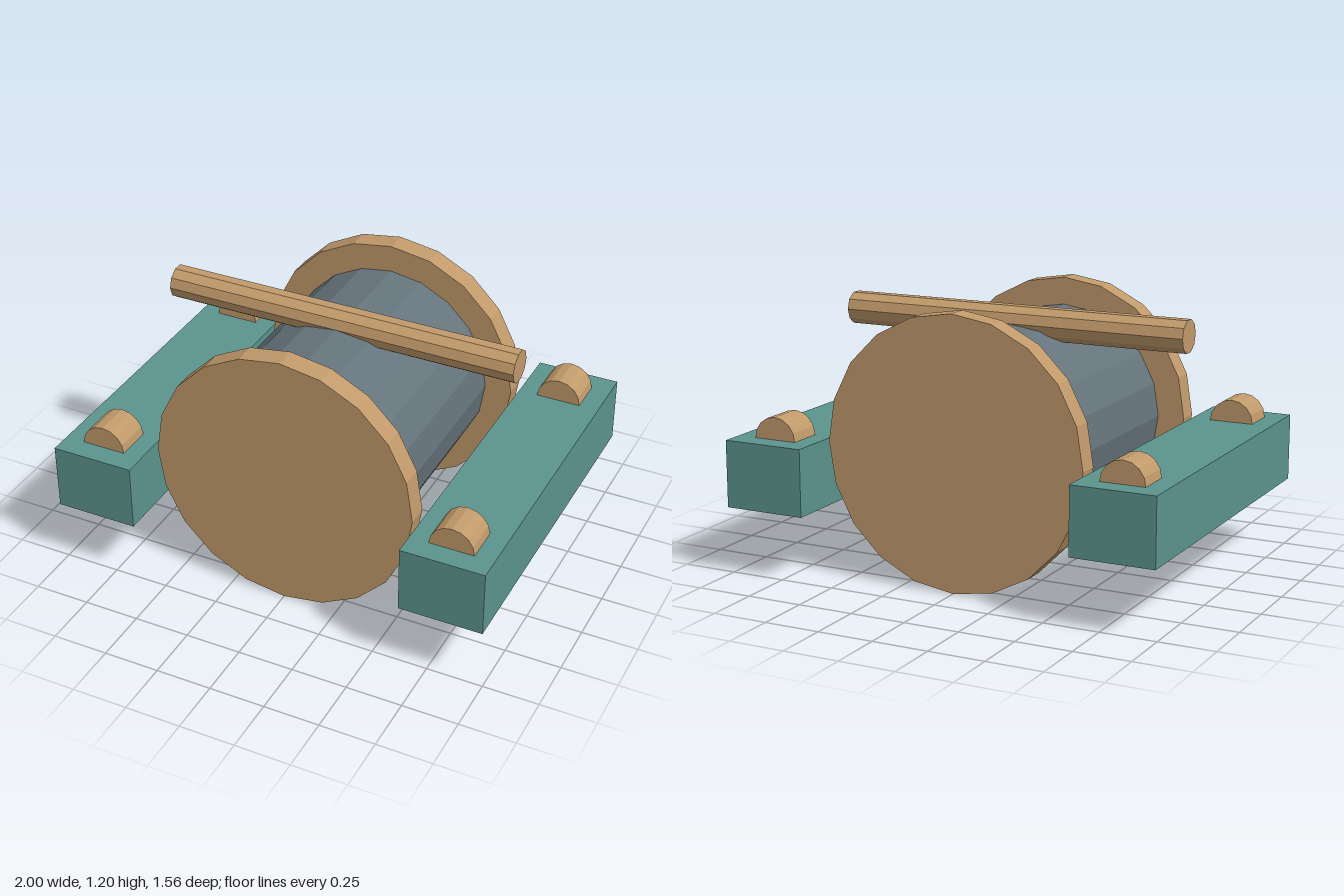
import * as THREE from 'three';

export function createModel() {
  const model = new THREE.Group();
  model.name = 'drumOnBeams';

  const material = (name, color) => {
    const m = new THREE.MeshStandardMaterial({ color, flatShading: true });
    m.name = name;
    return m;
  };
  const wood = material('wood', 0xc19a6b);
  const teal = material('teal', 0x5c948e);
  const slate = material('slate', 0x65747c);

  const add = (name, geometry, mat, x, y, z) => {
    const mesh = new THREE.Mesh(geometry, mat);
    mesh.name = name;
    mesh.position.set(x, y, z);
    model.add(mesh);
    return mesh;
  };

  // Cylinder lying along z
  const roller = (radius, length, sides, start = 0, sweep = Math.PI * 2) =>
    new THREE.CylinderGeometry(radius, radius, length, sides, 1, false, start, sweep).rotateX(Math.PI / 2);

  // Drum between two larger end discs
  const axisY = 0.602;
  add('drum', roller(0.475, 0.98, 20), slate, 0, axisY, 0);
  for (const [side, z] of [['front', 0.537], ['back', -0.537]]) {
    add(`${side}Disc`, roller(0.599, 0.1, 20), wood, 0, axisY, z);
  }

  // Crossbar resting in the top of the drum
  const bar = new THREE.CylinderGeometry(0.074, 0.074, 1.62, 10).rotateZ(Math.PI / 2);
  add('crossbar', bar, wood, 0, 1.077, 0);

  // Side beams, each with two half-round pegs on top
  for (const [side, s] of [['left', 1], ['right', -1]]) {
    add(`${side}Beam`, new THREE.BoxGeometry(0.373, 0.298, 1.556), teal, s * 0.8135, 0.453, 0);
    for (const [end, z] of [['Front', 0.6], ['Back', -0.6]]) {
      add(`${side}${end}Peg`, roller(0.1, 0.162, 8, Math.PI / 2, Math.PI), wood, s * 0.8125, 0.602, z);
    }
  }

  return model;
}
